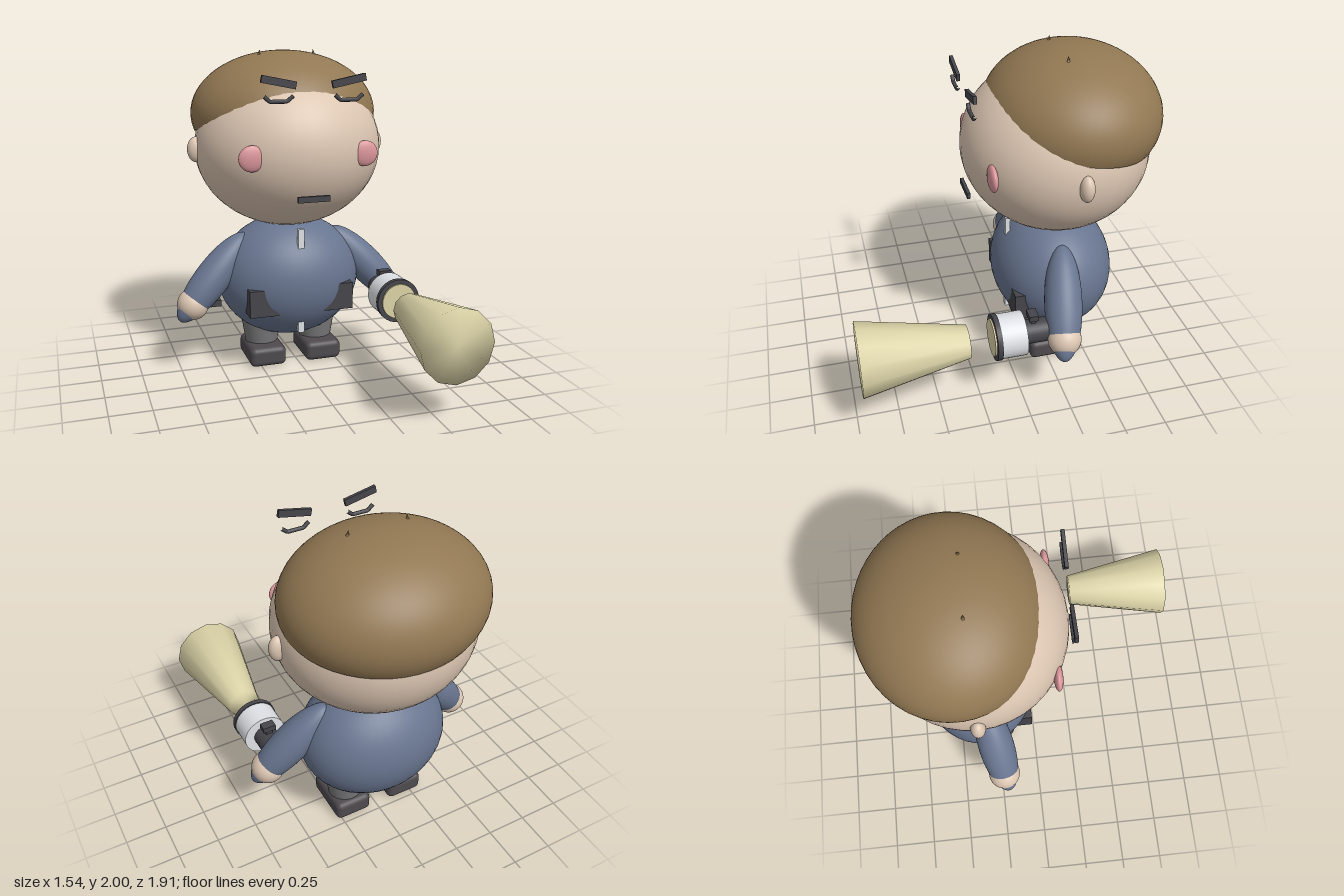
import * as THREE from 'three';
import { RoundedBoxGeometry } from 'three/addons/geometries/RoundedBoxGeometry.js';
import { mergeVertices } from 'three/addons/utils/BufferGeometryUtils.js';

const MID = -0.02; // symmetry plane of the figure
const BACK = -0.338; // depth of the figure's axis

const mat = (name, color, extra = {}) => {
  const m = new THREE.MeshStandardMaterial({ color, ...extra });
  m.name = name;
  return m;
};

export function createModel() {
  const root = new THREE.Group();
  root.name = 'boyWithTorch';
  const skin = mat('skin', 0xdcc6b2);
  const hairBrown = mat('hairBrown', 0x927853, { side: THREE.DoubleSide });
  const blue = mat('jacketBlue', 0x68758f);
  const grey = mat('trouserGrey', 0x7a7a7c);
  const shoeDark = mat('shoeDark', 0x4e4a4e);
  const dark = mat('darkGrey', 0x45454b);
  const pink = mat('cheekPink', 0xdb969b);
  const white = mat('white', 0xdfe2e6);
  const cream = mat('lightCream', 0xdcd4a8);

  const add = (name, geometry, material, x, y, z) => {
    const m = new THREE.Mesh(geometry, material);
    m.name = name;
    m.position.set(x, y, z);
    root.add(m);
    return m;
  };
  const ball = (name, material, x, y, z, rx, ry = rx, rz = rx) =>
    add(name, new THREE.SphereGeometry(1, 40, 28).scale(rx, ry, rz), material, x, y, z);
  const box = (name, material, x, y, z, w, h, d) =>
    add(name, new THREE.BoxGeometry(w, h, d), material, x, y, z);
  // cylinder along z, from z0 to z1
  const drum = (name, material, x, y, z0, z1, r) =>
    add(name, new THREE.CylinderGeometry(r, r, z1 - z0, 32).rotateX(Math.PI / 2), material, x, y, (z0 + z1) / 2);

  // Head and body
  ball('head', skin, MID, 1.4, BACK, 0.585, 0.5, 0.558);
  ball('body', blue, MID, 0.56, BACK, 0.462, 0.395, 0.375);

  // Hair: a tilted cap reaching a little past the equator
  const cap = new THREE.SphereGeometry(1, 48, 28, 0, Math.PI * 2, 0, 1.81);
  cap.rotateX(-0.237).scale(0.587, 0.39, 0.522);
  add('hair', cap, hairBrown, MID, 1.6, -0.43);

  // Mouth and zip
  box('mouth', dark, MID, 1.16, 0.203, 0.195, 0.035, 0.02);
  box('zip', white, MID, 0.585, -0.055, 0.04, 0.67, 0.03);

  // Eye line, drooping in the middle
  const eye = new THREE.CurvePath();
  const pts = [[-0.085, 0.02], [-0.05, -0.01], [0.05, -0.01], [0.085, 0.02]].map(([x, y]) => new THREE.Vector3(x, y, 0));
  for (let i = 0; i < 3; i++) eye.add(new THREE.LineCurve3(pts[i], pts[i + 1]));
  const eyeGeo = new THREE.TubeGeometry(eye, 24, 0.012, 8);

  for (const s of [-1, 1]) {
    const side = s > 0 ? 'left' : 'right';
    const X = d => MID + s * d;

    // Face
    ball(side + 'Ear', skin, X(0.585), 1.4, BACK, 0.052, 0.078, 0.042);
    ball(side + 'Cheek', pink, X(0.345), 1.4, 0.122, 0.08, 0.077, 0.027);
    box(side + 'Brow', dark, X(0.208), 1.835, 0.205, 0.205, 0.043, 0.02).rotation.z = s * 0.2;
    add(side + 'Eye', eyeGeo, dark, X(0.208), 1.737, 0.203);
    add(side + 'Tuft', new THREE.ConeGeometry(0.018, 0.06, 8), hairBrown, X(0.175), 1.967, -0.345).rotation.z = s * 0.15;

    // Arm: a long ellipsoid whose tip passes through the hand
    const arm = ball(side + 'Arm', blue, X(0.51), 0.6, -0.262, 0.112, 0.345, 0.112);
    arm.quaternion.setFromUnitVectors(new THREE.Vector3(0, 1, 0), new THREE.Vector3(-s * 0.66, 0.72, -0.16).normalize());
    ball(side + 'Hand', skin, X(0.65), 0.445, -0.23, 0.099);

    // Pocket, leg and shoe
    box(side + 'Pocket', dark, X(0.239), 0.47, -0.075, 0.192, 0.17, 0.11);
    add(side + 'Leg', new THREE.CylinderGeometry(0.135, 0.1, 0.22, 32), grey, X(0.185), 0.2, BACK);
    add(side + 'Shoe', new RoundedBoxGeometry(0.235, 0.125, 0.335, 4, 0.035), shoeDark, X(0.185), 0.0625, -0.307);
  }
  box('wristClip', dark, -0.53, 0.44, -0.23, 0.07, 0.04, 0.05);

  // Torch held in the left hand
  const TX = 0.543, TY = 0.472;
  drum('torchHandle', dark, TX, TY, -0.145, 0.01, 0.072);
  drum('torchHead', white, TX, TY, 0, 0.15, 0.132);
  drum('torchRim', dark, TX, TY, 0.15, 0.18, 0.138);
  drum('torchLens', cream, TX, TY, 0.18, 0.19, 0.11);
  box('switchPost', dark, TX, 0.555, -0.06, 0.04, 0.05, 0.028);
  box('switchButton', dark, TX, 0.588, -0.057, 0.08, 0.035, 0.055);

  // Light beam: a twelve-sided flare with soft shading
  let beam = new THREE.CylinderGeometry(0.222, 0.1, 0.63, 12).rotateX(Math.PI / 2);
  beam.deleteAttribute('normal');
  beam.deleteAttribute('uv');
  beam = mergeVertices(beam);
  beam.computeVertexNormals();
  add('lightBeam', beam, cream, TX, TY, 0.643);

  return root;
}
